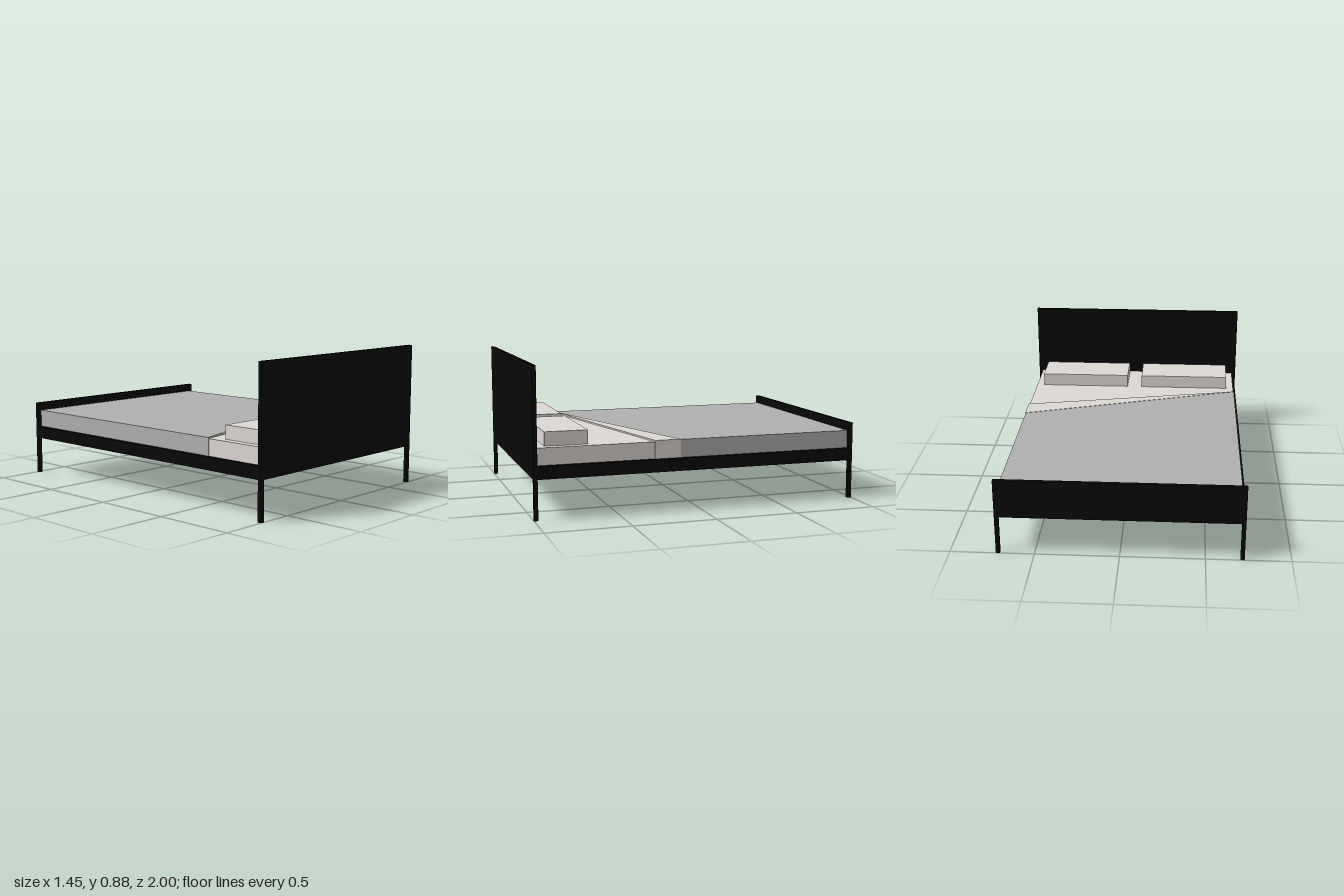
import * as THREE from 'three';

const material = (color) => new THREE.MeshStandardMaterial({ color });

export function createModel() {
  const model = new THREE.Group();
  const frame = material(0x080808);
  const linen = material(0xddd8d4);
  const cover = material(0xb0b0b0);

  const add = (name, geometry, mat) => {
    const mesh = new THREE.Mesh(geometry, mat);
    mesh.name = name;
    model.add(mesh);
    return mesh;
  };

  // Box given by its min and max along each axis
  const box = (name, mat, [x0, x1], [y0, y1], [z0, z1]) =>
    add(name, new THREE.BoxGeometry(x1 - x0, y1 - y0, z1 - z0), mat)
      .position.set((x0 + x1) / 2, (y0 + y1) / 2, (z0 + z1) / 2);

  // Slab with an outline in plan (x, z), between two heights
  const slab = (name, mat, outline, y0, y1) => {
    const shape = new THREE.Shape(outline.map(([x, z]) => new THREE.Vector2(x, z)));
    const geometry = new THREE.ExtrudeGeometry(shape, { depth: y1 - y0, bevelEnabled: false });
    geometry.rotateX(Math.PI / 2).translate(0, y1, 0);
    add(name, geometry, mat);
  };

  const W = 0.727, T = 0.024, L = 1;      // half width, board thickness, half length
  const railBottom = 0.237, railTop = 0.313;

  // Frame
  box('bedBase', frame, [-W, W], [railBottom, railTop], [-L + T, L - T]);
  box('headboard', frame, [-W, W], [railBottom, 0.885], [L - T, L]);
  box('footboard', frame, [-W, W], [railBottom, 0.472], [-L, -L + T]);
  for (const sx of [-1, 1]) {
    for (const sz of [-1, 1]) {
      const span = (s, outer) => (s > 0 ? [outer - T, outer] : [-outer, -outer + T]);
      box(`${sz > 0 ? 'head' : 'foot'}Leg${sx > 0 ? 'Left' : 'Right'}`, frame,
        span(sx, W), [0, railBottom], span(sz, L));
    }
  }

  // Mattress and pillows
  box('mattress', linen, [-0.7, 0.7], [railTop, 0.414], [-L + T, L - T]);
  for (const [name, x] of [['pillowRight', -0.65], ['pillowLeft', 0.05]]) {
    box(name, linen, [x, x + 0.6], [0.414, 0.497], [0.664, 0.92]);
  }

  // Blanket with its diagonal turned-back corner
  const B = 0.703, F = 0.706;
  slab('blanket', cover, [[-B, -L + T], [B, -L + T], [B, 0.118], [-B, 0.583]], railTop, 0.421);
  slab('blanketFold', linen, [[-B, 0.583], [F, 0.117], [F, 0.275]], railTop, 0.423);

  return model;
}
